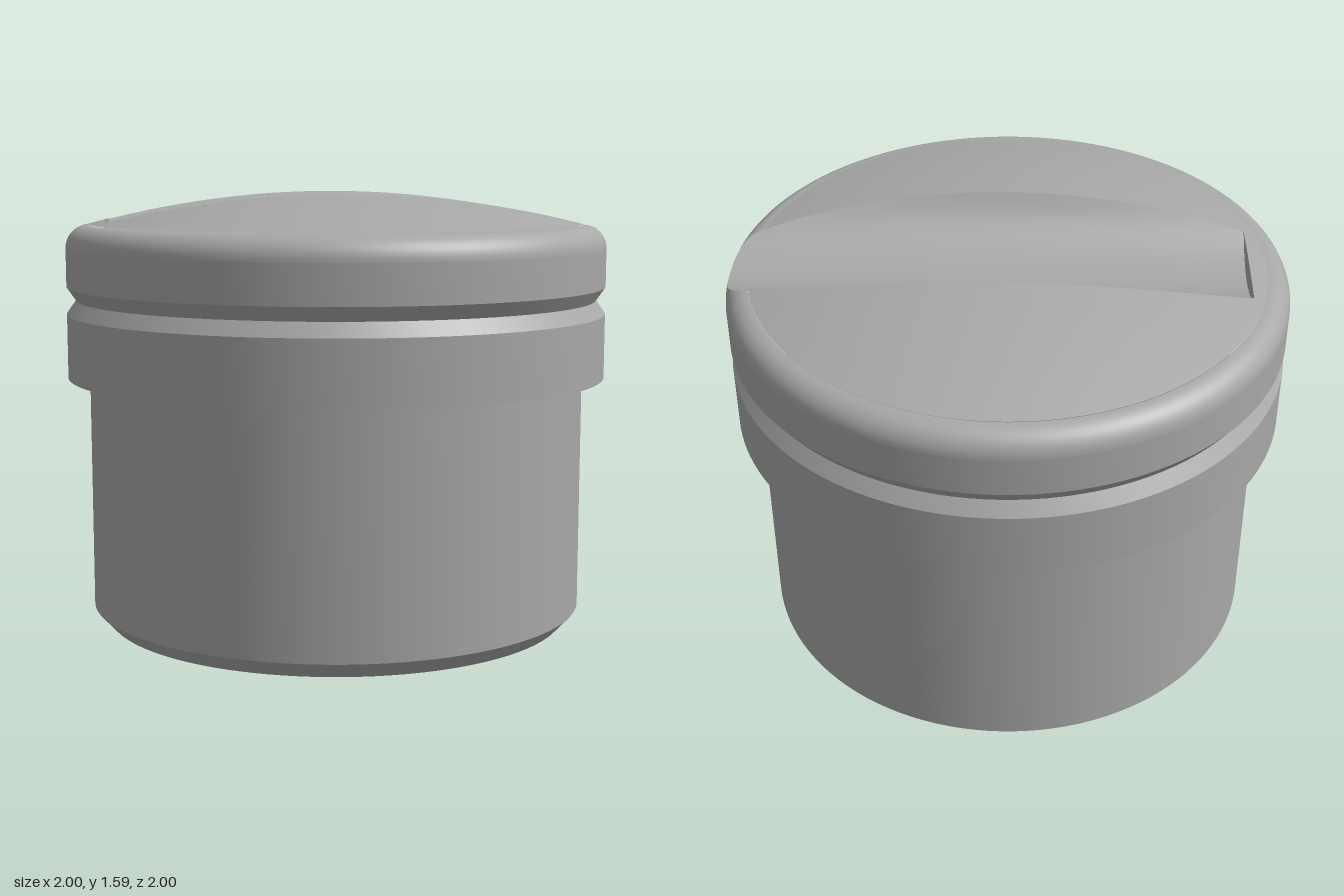
import * as THREE from 'three';
import { toCreasedNormals } from 'three/addons/utils/BufferGeometryUtils.js';

const APEX = 1.608, DOME_R = 3.32;             // shallow dome
const RIM = 0.915, FILLET = 0.085, RIM_Y = 1.395; // rounded rim
const SLOT_R = 0.34, SLOT_Y = 1.755, SLOT_END = -0.85; // round-bottomed finger slot
const CEILING = 1.3;

const domeY = (r) => APEX - (r * r) / (2 * DOME_R);
const topY = (r) => r <= RIM ? domeY(r)
  : RIM_Y + Math.sqrt(Math.max(0, FILLET ** 2 - (r - RIM) ** 2));
const slotY = (z) => Math.abs(z) < SLOT_R ? SLOT_Y - Math.sqrt(SLOT_R ** 2 - z * z) : Infinity;

// Grid surface from fn(u, v) with integer steps; it faces du x dv
function grid(nu, nv, fn) {
  const pos = [], idx = [];
  for (let v = 0; v <= nv; v++) for (let u = 0; u <= nu; u++) pos.push(...fn(u, v));
  for (let v = 0; v < nv; v++) for (let u = 0; u < nu; u++) {
    const a = v * (nu + 1) + u, b = a + 1, c = a + nu + 1, d = c + 1;
    idx.push(a, b, c, b, d, c);
  }
  const g = new THREE.BufferGeometry();
  g.setAttribute('position', new THREE.Float32BufferAttribute(pos, 3));
  g.setIndex(idx);
  g.computeVertexNormals();
  return g;
}

// Distance from the axis to the slot edge along one direction
function slotEdge(angle) {
  const c = Math.cos(angle), s = Math.sin(angle);
  let lo = 0, hi = 1;
  for (let i = 0; i < 40; i++) {
    const r = (lo + hi) / 2;
    if (r * c > SLOT_END && topY(r) > slotY(r * s)) lo = r; else hi = r;
  }
  return lo;
}

export function createModel() {
  const model = new THREE.Group();
  const grey = new THREE.MeshStandardMaterial({ color: 0xa8a8a8 });
  grey.name = 'grey';
  const add = (name, geometry) => {
    const mesh = new THREE.Mesh(geometry, grey);
    mesh.name = name;
    model.add(mesh);
    return mesh;
  };

  // Hollow body with chamfered foot, collar and V-groove
  const profile = [
    [0, CEILING], [0.81, CEILING], [0.81, 0], [0.865, 0], [0.92, 0.06], [0.92, 0.92],
    [1, 0.92], [1, 1.155], [0.965, 1.205], [1, 1.255], [1, RIM_Y],
  ].map(([x, y]) => new THREE.Vector2(x, y));
  add('body', toCreasedNormals(new THREE.LatheGeometry(profile, 120), 0.5));

  // Slot outline, sampled by angle around the axis
  let endHalf = 0.2;
  for (let i = 0; i < 30; i++) {
    const y = domeY(Math.hypot(SLOT_END, endHalf));
    endHalf = Math.sqrt(SLOT_R ** 2 - (SLOT_Y - y) ** 2);
  }
  const corner = Math.atan2(endHalf, SLOT_END);
  const N = 120, W = 10;
  const half = [];
  for (let i = 0; i <= N; i++) half.push(corner * (i / N) ** 1.5);
  const angles = [...half];
  for (let i = 1; i < W; i++) angles.push(corner + (2 * Math.PI - 2 * corner) * (i / W));
  for (let i = N; i >= 0; i--) angles.push(2 * Math.PI - half[i]);
  const edges = angles.map(slotEdge);
  const last = angles.length - 1;
  const ring = (u, r, y) => [r * Math.cos(angles[u]), y, r * Math.sin(angles[u])];

  // Dome from the slot outline to the rim
  add('domedTop', grid(last, 6, (u, v) => {
    const r = THREE.MathUtils.lerp(edges[u], Math.max(edges[u], RIM), v / 6);
    return ring(u, r, topY(r));
  }));

  // Rounded rim, notched where the slot runs out
  add('roundedRim', grid(last, 10, (u, v) => {
    const start = Math.acos(THREE.MathUtils.clamp((edges[u] - RIM) / FILLET, 0, 1));
    const a = start * (1 - v / 10);
    return ring(u, RIM + FILLET * Math.cos(a), RIM_Y + FILLET * Math.sin(a));
  }));

  // Slot floor and its closed end
  add('slotFloor', grid(24, N, (u, v) => {
    const x = edges[v] * Math.cos(angles[v]);
    const z = edges[v] * Math.sin(angles[v]) * (1 - u / 12);
    return [x, slotY(z), z];
  }));
  add('slotEndWall', grid(1, 20, (u, v) => {
    const z = endHalf * (v / 10 - 1);
    return [SLOT_END, u ? domeY(Math.hypot(SLOT_END, z)) : slotY(z), z];
  }));

  // Rectangular socket hanging inside the body
  const rect = (path, w, d) => path.moveTo(-w / 2, -d / 2).lineTo(w / 2, -d / 2)
    .lineTo(w / 2, d / 2).lineTo(-w / 2, d / 2).closePath();
  const outline = rect(new THREE.Shape(), 0.79, 0.57);
  outline.holes.push(rect(new THREE.Path(), 0.58, 0.35));
  const socket = add('socket', new THREE.ExtrudeGeometry(outline, { depth: CEILING, bevelEnabled: false })
    .rotateX(-Math.PI / 2));
  socket.position.x = -0.385;

  // Small wedge-shaped catch on the socket
  const wedge = new THREE.Shape().moveTo(0, 0).lineTo(0.1, 0).lineTo(0.03, 0.05).closePath();
  const nub = add('socketCatch', new THREE.ExtrudeGeometry(wedge, { depth: 0.05, bevelEnabled: false })
    .rotateX(-Math.PI / 2));
  nub.position.set(-0.27, 0.005, -0.28);

  return model;
}
